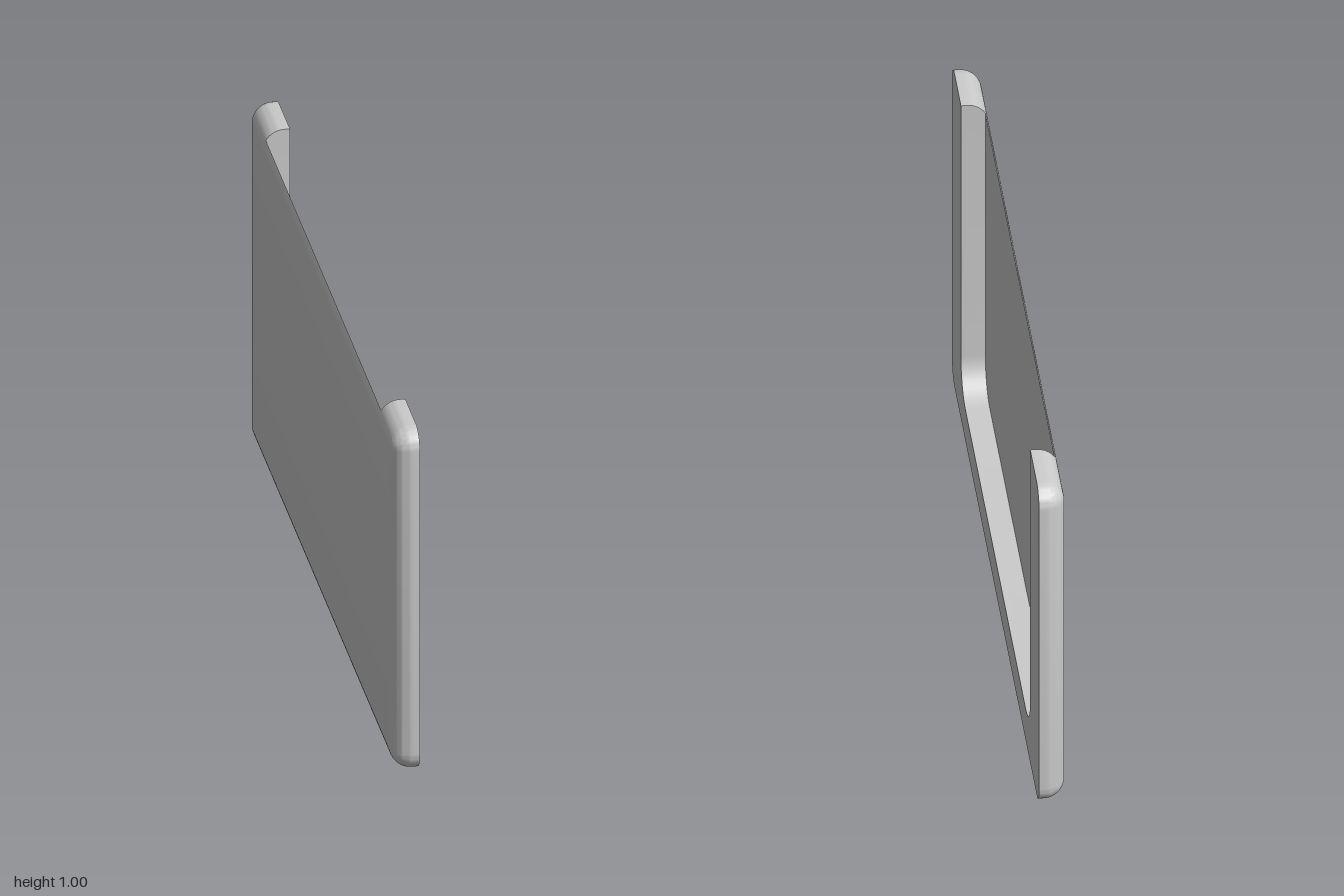
import * as THREE from 'three';
import { mergeGeometries, toCreasedNormals } from 'three/addons/utils/BufferGeometryUtils.js';

// Sections are drawn in (u, v), stacked along w, then turned so that w becomes x and u becomes -z.
const L = 1, H = 1.004, FRONT = 0.036, BACK = -0.036; // half length, height, the two faces
const R = 0.056;                                      // rounding of edges and corners
const RECESS = { half: 0.795, bottom: 0.1, r: 0.1 };
const STEPS = 12, FLOOR_STEP = 8;                     // the recess is cut down to this rounding step

function arc(cx, cy, r, from, to) {
  const pts = [];
  for (let i = 0; i <= STEPS; i++) {
    const a = (from + (to - from) * i / STEPS) * Math.PI / 180;
    pts.push(new THREE.Vector2(cx + r * Math.cos(a), cy + r * Math.sin(a)));
  }
  return pts;
}

// Rounded outline inset by d, running round from one side of the recess mouth to the other
function outerPath(d) {
  const r = R - d, u = L - R, top = H - R;
  return [
    new THREE.Vector2(-RECESS.half, H - d),
    ...arc(-u, top, r, 90, 180), ...arc(-u, R, r, 180, 270),
    ...arc(u, R, r, 270, 360), ...arc(u, top, r, 0, 90),
    new THREE.Vector2(RECESS.half, H - d)
  ];
}

// Bottom of the recess, running back from right to left
function recessPath() {
  const { half, bottom, r } = RECESS;
  return [...arc(half - r, bottom + r, r, 0, -90), ...arc(r - half, bottom + r, r, -90, -180)];
}

const frameLoop = d => [...outerPath(d), ...recessPath()];

// Skin between stacked closed loops
function loft(loops) {
  const pos = [];
  const tri = (a, b, c) => {
    const area = b.clone().sub(a).cross(c.clone().sub(a)).length();
    if (area > 1e-9) pos.push(...a.toArray(), ...b.toArray(), ...c.toArray());
  };
  for (let k = 0; k < loops.length - 1; k++) {
    const n = loops[k].pts.length;
    const at = (j, i) => {
      const p = loops[j].pts[i % n];
      return new THREE.Vector3(p.x, p.y, loops[j].w);
    };
    for (let i = 0; i < n; i++) {
      const a = at(k, i), b = at(k, i + 1), c = at(k + 1, i + 1), d = at(k + 1, i);
      tri(a, d, c);
      tri(a, c, b);
    }
  }
  const g = new THREE.BufferGeometry();
  g.setAttribute('position', new THREE.Float32BufferAttribute(pos, 3));
  g.computeVertexNormals();
  return g;
}

export function createModel() {
  const grey = new THREE.MeshStandardMaterial({ color: 0xcccccc });
  grey.name = 'light grey';
  const group = new THREE.Group();
  group.name = 'recessedPanel';

  const add = (name, geometry) => {
    geometry.rotateY(Math.PI / 2);
    const mesh = new THREE.Mesh(geometry, grey);
    mesh.name = name;
    group.add(mesh);
  };

  // Inset and depth at each step of the rounded rear edge
  const layers = [];
  for (let i = 0; i <= STEPS; i++) {
    const t = Math.PI / 2 * i / STEPS;
    layers.push({ d: R * (1 - Math.cos(t)), w: BACK + R - R * Math.sin(t) });
  }
  const floor = layers[FLOOR_STEP];

  // Rim and recess walls, then the closed shell behind the recess floor, then the flat back
  const rim = loft([{ d: 0, w: FRONT }, ...layers.slice(0, FLOOR_STEP + 1)]
    .map(({ d, w }) => ({ pts: frameLoop(d), w })));
  const shell = loft(layers.slice(FLOOR_STEP).map(({ d, w }) => ({ pts: outerPath(d), w })));
  const back = new THREE.PlaneGeometry(2 * (L - R), H - 2 * R).rotateY(Math.PI)
    .translate(0, H / 2, BACK).toNonIndexed();
  back.deleteAttribute('uv');
  add('body', toCreasedNormals(mergeGeometries([rim, shell, back]), 0.6));

  // Flat U-shaped front face
  add('frontFrame', new THREE.ShapeGeometry(new THREE.Shape(frameLoop(0))).translate(0, 0, FRONT));

  // Flat floor of the recess, open at the top
  const top = H - floor.d;
  const floorShape = new THREE.Shape([
    new THREE.Vector2(RECESS.half, top), new THREE.Vector2(-RECESS.half, top),
    ...recessPath().reverse()
  ]);
  add('recessFloor', new THREE.ShapeGeometry(floorShape).translate(0, 0, floor.w));

  return group;
}
